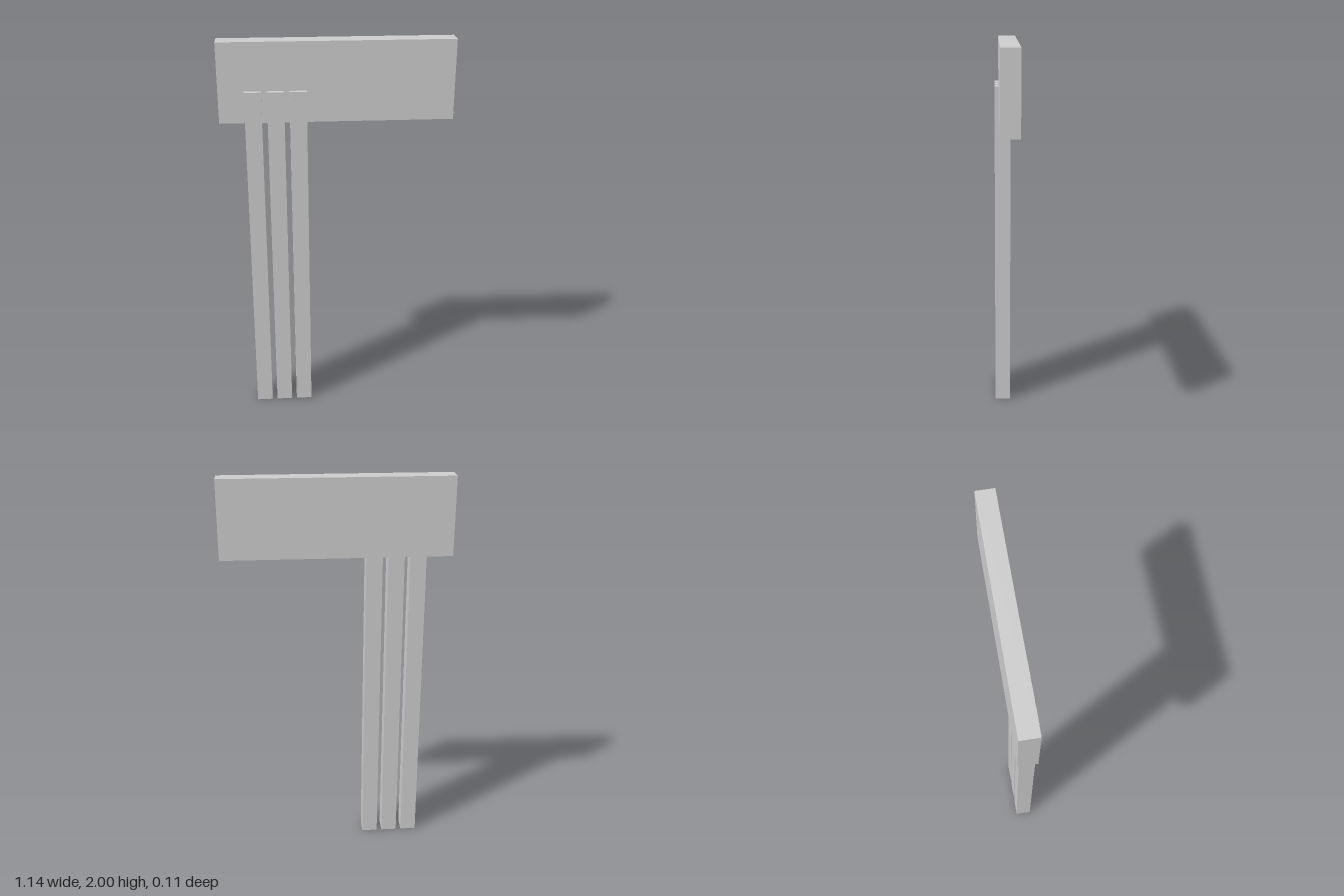
import * as THREE from 'three';

export function createModel() {
  const group = new THREE.Group();
  const material = new THREE.MeshStandardMaterial({ color: 0xcccccc, flatShading: true });

  // Box given by its size, centre x, bottom y and centre z
  function addBox(name, [w, h, d], x, bottom, z) {
    const mesh = new THREE.Mesh(new THREE.BoxGeometry(w, h, d), material);
    mesh.name = name;
    mesh.position.set(x, bottom + h / 2, z);
    group.add(mesh);
  }

  // Wide sign board at the top
  addBox('signBoard', [1.142, 0.392, 0.092], 0, 1.608, -0.011);

  // Three square posts side by side, set into the board and standing proud of its front
  for (let i = 0; i < 3; i++) {
    addBox(`post${i + 1}`, [0.082, 1.764, 0.082], -0.405 + i * 0.109, 0, 0.016);
  }

  return group;
}
